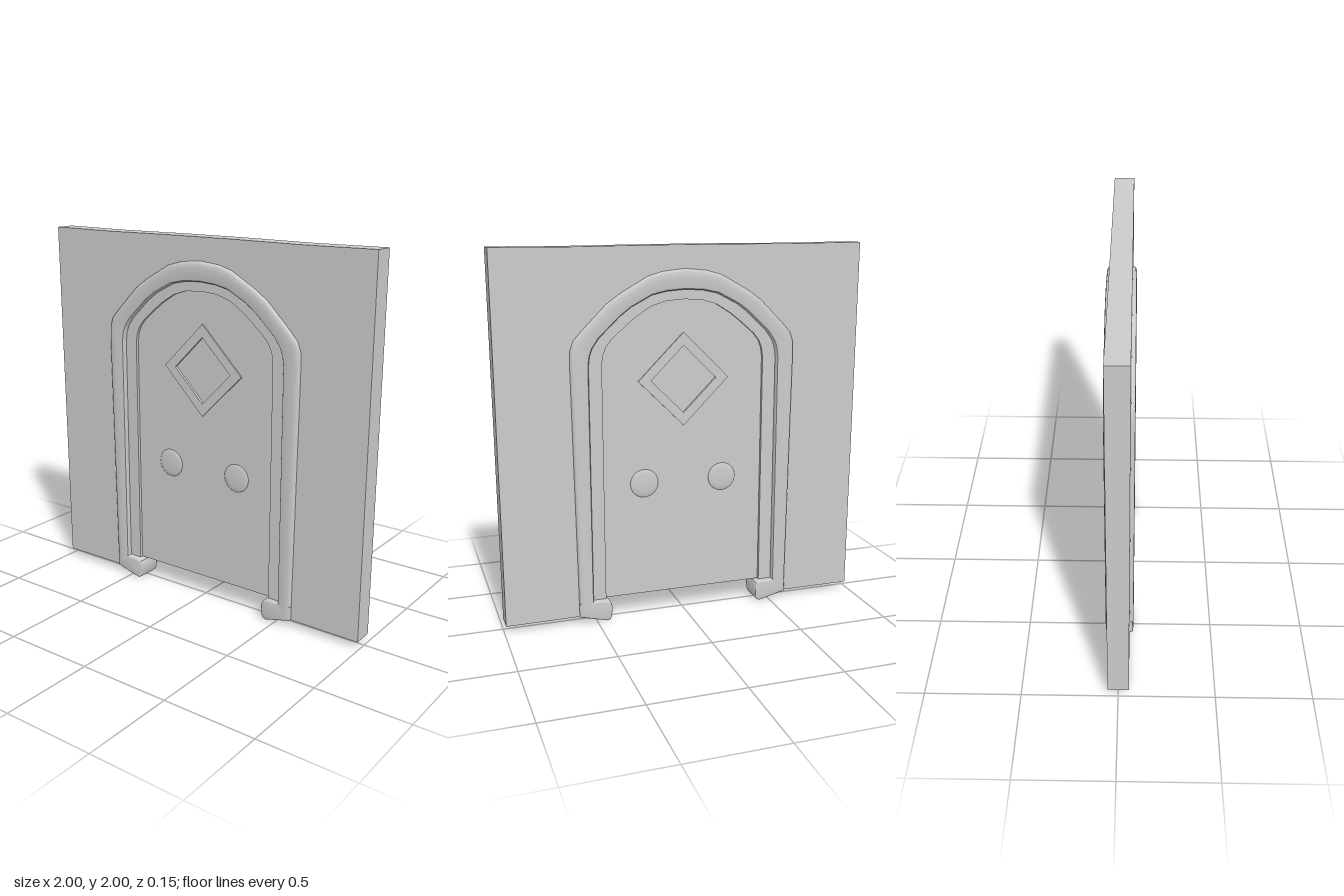
import * as THREE from 'three';
import { toCreasedNormals } from 'three/addons/utils/BufferGeometryUtils.js';

const material = new THREE.MeshStandardMaterial({ color: 0xcccccc });

// Half outlines of the arch, from the foot to the crown (same count in each)
const OUTER = [[0.595, 0.04], [0.615, 1.42], [0.612, 1.48], [0.595, 1.53], [0.55, 1.58], [0.42, 1.71], [0.35, 1.76], [0.2, 1.845], [0.12, 1.868], [0, 1.88]];
const MIDDLE = [[0.517, 0.12], [0.517, 1.4], [0.51, 1.45], [0.495, 1.49], [0.46, 1.54], [0.35, 1.645], [0.29, 1.69], [0.18, 1.748], [0.1, 1.765], [0, 1.772]];
const INNER = [[0.445, 0.12], [0.445, 1.4], [0.438, 1.45], [0.422, 1.49], [0.39, 1.53], [0.31, 1.6], [0.26, 1.64], [0.18, 1.69], [0.1, 1.715], [0, 1.722]];

// Full outline, right foot over the crown to the left foot
const mirror = (half) => [...half, ...half.slice(0, -1).reverse().map(([x, y]) => [-x, y])];
const shapeOf = (pts) => new THREE.Shape(pts.map(([x, y]) => new THREE.Vector2(x, y)));

function addMesh(parent, name, geometry) {
  const mesh = new THREE.Mesh(geometry, material);
  mesh.name = name;
  parent.add(mesh);
  return mesh;
}

// Flat slab centred on z = 0
function slab(shape, halfDepth, bevel = 0) {
  const depth = 2 * (halfDepth - bevel);
  const g = new THREE.ExtrudeGeometry(shape, {
    depth, bevelEnabled: bevel > 0, bevelSize: bevel, bevelOffset: -bevel,
    bevelThickness: bevel, bevelSegments: 3, curveSegments: 32,
  });
  g.translate(0, 0, -depth / 2);
  return toCreasedNormals(g, 0.6);
}

// Moulding: a rounded profile swept between two outlines
function moulding(outer, inner) {
  const front = [[0, 0.05], [0.005, 0.062], [0.04, 0.069], [0.14, 0.074], [0.35, 0.076], [0.7, 0.074], [0.93, 0.07], [0.985, 0.062], [1, 0.04]];
  const profile = [...front, ...front.slice().reverse().map(([t, z]) => [t, -z])];
  const n = profile.length, pos = [], index = [];
  outer.forEach(([ox, oy], i) => {
    const [ix, iy] = inner[i];
    for (const [t, z] of profile) pos.push(ox + (ix - ox) * t, oy + (iy - oy) * t, z);
    if (i === 0) return;
    for (let j = 0; j < n; j++) {
      const k = (j + 1) % n, a = (i - 1) * n, b = i * n;
      index.push(a + j, b + j, b + k, a + j, b + k, a + k);
    }
  });
  const g = new THREE.BufferGeometry();
  g.setAttribute('position', new THREE.Float32BufferAttribute(pos, 3));
  g.setIndex(index);
  return toCreasedNormals(g, 0.7);
}

const diamond = (r) => [[r, 0], [0, r], [-r, 0], [0, -r]].map(([x, y]) => [x, y + 1.3]);

export function createModel() {
  const model = new THREE.Group();
  model.name = 'archedDoorway';

  // Wall with an arched notch, edges slightly uneven
  const notch = mirror(OUTER.map(([x, y], i) => (i === 0 ? [x - 0.01, y] : [x - Math.sign(x) * 0.01, y - 0.01])));
  addMesh(model, 'wall', slab(shapeOf([
    [0.99, 0.038], [0.995, 1], [1, 2], [0.6, 1.997], [0.2, 2], [-0.2, 2], [-0.6, 1.997], [-1, 2],
    [-0.995, 1], [-0.99, 0.038], ...notch.slice().reverse(),
  ]), 0.055));

  // Frame moulding and the narrow step inside it
  addMesh(model, 'frameMoulding', moulding(mirror(OUTER), mirror(MIDDLE)));
  addMesh(model, 'innerStep', slab(shapeOf([...mirror(MIDDLE.map(([x, y], i) => [x + (x ? 0.004 : 0), i ? y + 0.004 : y])), ...mirror(INNER).reverse()]), 0.045));

  // Feet turning inward under the jambs
  for (const side of [1, -1]) {
    const pts = [[0.595, 0.04], [0.597, 0.119], [0.45, 0.117], [0.425, 0.105], [0.416, 0.08], [0.42, 0.025], [0.428, 0.008], [0.445, 0.002]];
    addMesh(model, side > 0 ? 'leftFoot' : 'rightFoot', slab(shapeOf(pts.map(([x, y]) => [x * side, y])), 0.073, 0.008));
  }

  // Door leaf with a diamond window opening
  const door = new THREE.Group();
  door.name = 'door';
  model.add(door);
  const leaf = shapeOf(mirror(INNER.map(([x, y], i) => [x + (x ? 0.005 : 0), i ? y + 0.005 : y])));
  leaf.holes.push(shapeOf(diamond(0.21)));
  addMesh(door, 'doorLeaf', slab(leaf, 0.028));

  // Window frame and recessed pane
  const trim = shapeOf(diamond(0.25));
  trim.holes.push(shapeOf(diamond(0.18)));
  addMesh(door, 'windowFrame', slab(trim, 0.036));
  addMesh(door, 'windowPane', slab(shapeOf(diamond(0.22)), 0.022));

  // Pair of low round knobs, showing on both faces
  for (const x of [0.22, -0.22]) {
    const r = 0.08;
    const profile = [[0, -0.037], [0.6, -0.036], [0.9, -0.032], [1, -0.026], [1, 0.026], [0.9, 0.032], [0.6, 0.036], [0, 0.037]];
    const g = new THREE.LatheGeometry(profile.map(([a, b]) => new THREE.Vector2(a * r, b)), 32);
    const knob = addMesh(door, x > 0 ? 'leftKnob' : 'rightKnob', g);
    knob.rotation.x = Math.PI / 2;
    knob.position.set(x, 0.745, 0);
  }

  return model;
}
